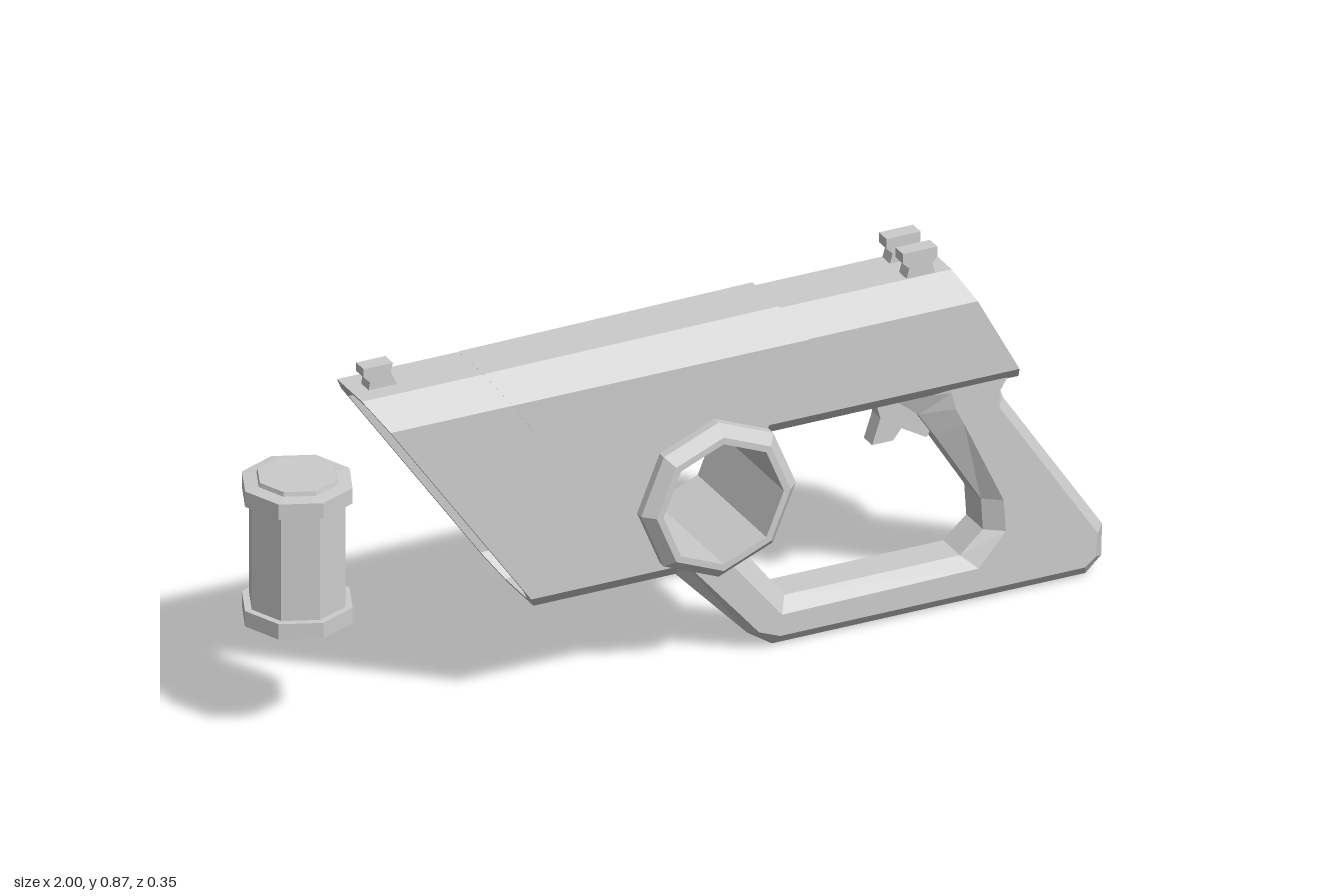
import * as THREE from 'three';

const grey = new THREE.MeshStandardMaterial({ color: 0xcccccc, flatShading: true });
const greyDouble = new THREE.MeshStandardMaterial({ color: 0xcccccc, flatShading: true, side: THREE.DoubleSide });

function meshOf(name, triangles, material = grey) {
  const geometry = new THREE.BufferGeometry();
  geometry.setAttribute('position', new THREE.Float32BufferAttribute(triangles.flat(), 3));
  geometry.computeVertexNormals();
  const mesh = new THREE.Mesh(geometry, material);
  mesh.name = name;
  return mesh;
}

// Quads between successive closed rings; edges listed in skip stay open
function skin(rings, skip = []) {
  const out = [];
  for (let k = 0; k + 1 < rings.length; k++) {
    const p = rings[k], q = rings[k + 1], n = p.length;
    for (let i = 0; i < n; i++) {
      if (skip.includes(i)) continue;
      const j = (i + 1) % n;
      out.push(p[i], q[i], q[j], p[i], q[j], p[j]);
    }
  }
  return out;
}

const atZ = (pts, z) => pts.map(([x, y]) => [x, y, z]);

// Slab with bevelled rims: side contour at +-zSide, fuller contour at +-zMid (both counter-clockwise)
function slab(name, side, mid, zSide, zMid, skip) {
  const rings = [atZ(side, zSide), atZ(mid, zMid), atZ(mid, -zMid), atZ(side, -zSide)];
  const out = skin(rings, skip);
  const faces = THREE.ShapeUtils.triangulateShape(side.map(([x, y]) => new THREE.Vector2(x, y)), []);
  for (const [a, b, c] of faces) {
    out.push(rings[0][a], rings[0][b], rings[0][c], rings[3][c], rings[3][b], rings[3][a]);
  }
  return meshOf(name, out);
}

// Rim and sunken panel closing an end opening
function recess(name, ring, scaleXY, scaleZ, push) {
  const mid = [0, 1, 2].map(a => ring.reduce((s, p) => s + p[a], 0) / ring.length);
  const scales = [scaleXY, scaleXY, scaleZ];
  const inner = ring.map(p => p.map((v, a) => mid[a] + (v - mid[a]) * scales[a]));
  const floor = inner.map(p => p.map((v, a) => v + push[a]));
  const out = skin([ring, inner, floor]);
  for (let i = 1; i + 1 < floor.length; i++) out.push(floor[0], floor[i], floor[i + 1]);
  return meshOf(name, out, greyDouble);
}

// Eight-sided turned part
function turned(name, profile) {
  const geometry = new THREE.LatheGeometry(profile.map(([r, y]) => new THREE.Vector2(r, y)), 8).toNonIndexed();
  geometry.computeVertexNormals();
  const mesh = new THREE.Mesh(geometry, grey);
  mesh.name = name;
  return mesh;
}

function plate(name, pts, width, z = 0) {
  const shape = new THREE.Shape(pts.map(([x, y]) => new THREE.Vector2(x, y)));
  const geometry = new THREE.ExtrudeGeometry(shape, { depth: width, bevelEnabled: false });
  const mesh = new THREE.Mesh(geometry, grey);
  mesh.position.z = z - width / 2;
  mesh.name = name;
  return mesh;
}

export function createModel() {
  const model = new THREE.Group();
  model.name = 'blasterSet';
  const blaster = new THREE.Group();
  blaster.name = 'blaster';
  blaster.position.z = 0.01;
  model.add(blaster);

  // Body, cut away where the hub sits
  const hubX = 0.033, hubY = 0.43;
  const arc = [225, 180, 135, 90, 45].map(d => {
    const a = THREE.MathUtils.degToRad(d);
    return [hubX + 0.165 * Math.cos(a), hubY + 0.165 * Math.sin(a)];
  });
  const bodySide = [[-0.741, 0.755], [-0.405, 0.28], [-0.05, 0.28], ...arc, [0.165, 0.57], [0.763, 0.57], [0.663, 0.755]];
  const bodyMid = [[-0.78, 0.812], [-0.37, 0.23], [-0.03, 0.23], ...arc, [0.18, 0.52], [0.79, 0.52], [0.63, 0.812]];
  const last = bodySide.length - 1;
  const zs = 0.12, zm = 0.06;
  blaster.add(slab('body', bodySide, bodyMid, zs, zm, [0, last - 1]));

  // Muzzle opening and rear panel
  const endRing = (top, bottom) => {
    const half = [[...bodyMid[top], zm], [...bodySide[top], zs], [...bodySide[bottom], zs], [...bodyMid[bottom], zm]];
    return [...half, ...half.slice().reverse().map(([x, y, z]) => [x, y, -z])];
  };
  blaster.add(recess('muzzleOpening', endRing(0, 1), 0.94, 0.86, [0.15, 0, 0]));
  blaster.add(recess('rearPanel', endRing(last, last - 1), 0.92, 0.9, [-0.009, -0.005, 0]));

  // Slide cover, flush at the front and proud at the rear
  const section = (xs, o) => {
    const half = [[xs[0], 0.68, 0.12 + o], [xs[1], 0.755 + o * 0.4, 0.12 + o], [xs[2], 0.812 + o * 0.7, 0.06 + o * 0.4]];
    return [...half, ...half.slice().reverse().map(([x, y, z]) => [x, y, -z])];
  };
  const front = section([-0.4, -0.45, -0.49], 0.001);
  const rear = section([0.3, 0.255, 0.215], 0.009);
  const cover = skin([front, rear]);
  for (let i = 1; i < 5; i++) {
    cover.push(front[0], front[i], front[i + 1], rear[0], rear[i + 1], rear[i]);
  }
  blaster.add(meshOf('slideCover', cover, greyDouble));

  // Octagonal hub with a through hole
  const hub = turned('hub', [[0.144, -0.165], [0.16, -0.165], [0.185, -0.14], [0.185, 0.14],
    [0.16, 0.165], [0.144, 0.165], [0.144, -0.165]]);
  hub.rotation.x = Math.PI / 2;
  hub.position.set(hubX, hubY, 0);
  blaster.add(hub);

  // Grip and guard in one bevelled loop
  const gripSide = [[-0.03, 0.277], [0.165, 0.05], [0.215, 0.03], [0.945, 0.03], [0.97, 0.05], [0.975, 0.105],
    [0.74, 0.46], [0.735, 0.49], [0.76, 0.53], [0.74, 0.56],
    [0.62, 0.56], [0.625, 0.52], [0.635, 0.48], [0.655, 0.44], [0.75, 0.235], [0.755, 0.16], [0.69, 0.085],
    [0.22, 0.08], [0.06, 0.275]];
  const gripMid = [[-0.06, 0.26], [0.15, 0.04], [0.21, 0], [0.96, 0], [0.998, 0.035], [1, 0.11],
    [0.762, 0.468], [0.755, 0.49], [0.785, 0.53], [0.74, 0.56],
    [0.48, 0.56], [0.5, 0.52], [0.56, 0.47], [0.6, 0.41], [0.71, 0.235], [0.715, 0.16], [0.66, 0.11],
    [0.24, 0.11], [0.11, 0.28]];
  blaster.add(slab('gripAndGuard', gripSide, gripMid, 0.07, 0.04));

  // Trigger
  blaster.add(plate('trigger', [[0.46, 0.54], [0.48, 0.47], [0.46, 0.41], [0.51, 0.41], [0.53, 0.435],
    [0.59, 0.4], [0.64, 0.48], [0.62, 0.54]], 0.04));

  // Sights
  blaster.add(plate('frontSight', [[-0.745, 0.8], [-0.67, 0.8], [-0.69, 0.845], [-0.685, 0.865],
    [-0.755, 0.865], [-0.755, 0.845], [-0.74, 0.83]], 0.036));
  for (const s of [-1, 1]) {
    blaster.add(plate('rearSight', [[0.52, 0.8], [0.595, 0.8], [0.585, 0.835], [0.597, 0.85],
      [0.597, 0.873], [0.515, 0.873], [0.515, 0.85], [0.53, 0.835]], 0.036, s * 0.04));
  }

  // Separate canister with a flange at each end
  const half = [[0, 0.175], [0.09, 0.175], [0.092, 0.165], [0.125, 0.162], [0.125, 0.125], [0.109, 0.125]];
  const canister = turned('canister', [...half.map(([r, y]) => [r, -y]), ...half.slice().reverse()]);
  canister.position.set(-0.875, 0.43, -0.05);
  model.add(canister);

  return model;
}
